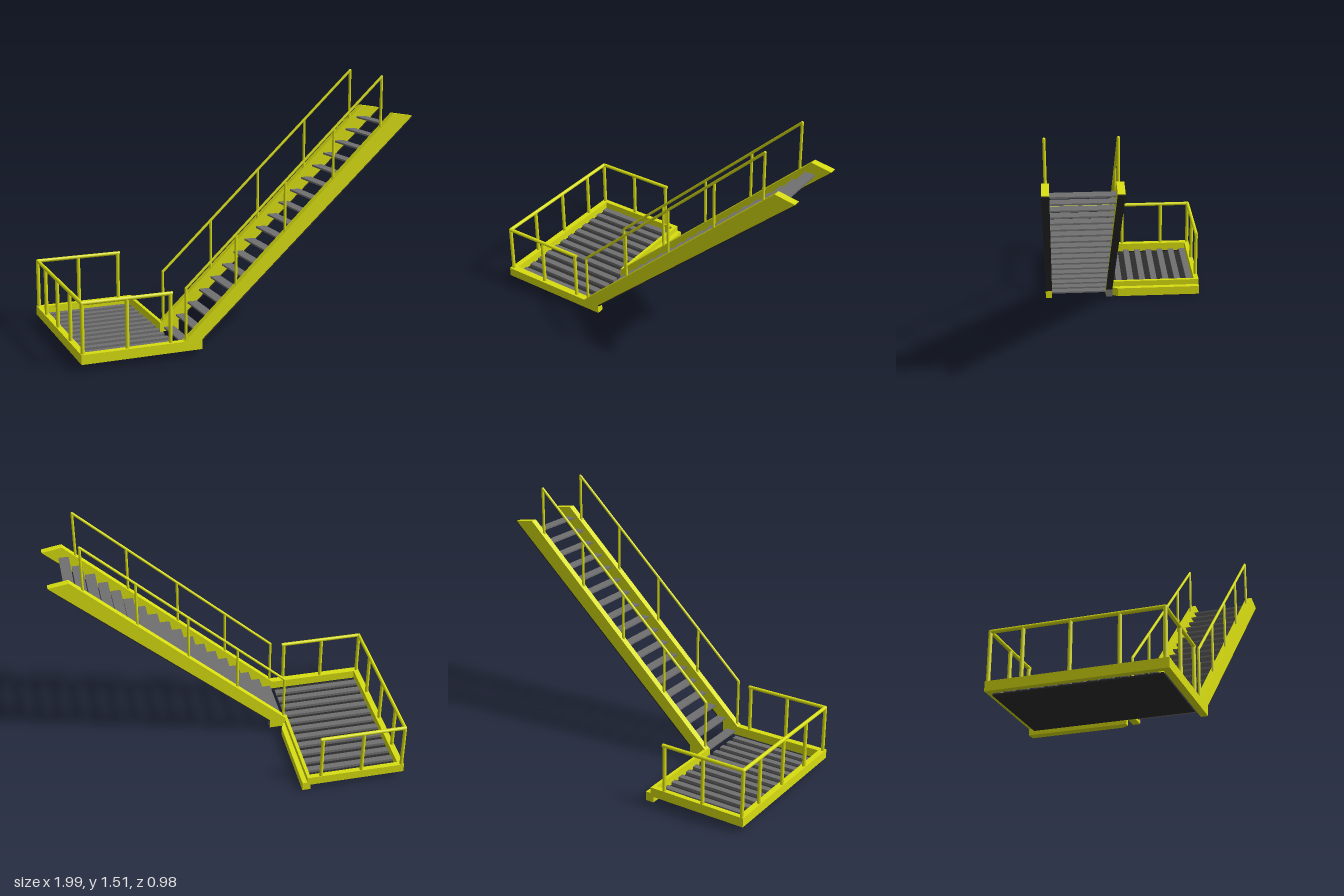
import * as THREE from 'three';

const mat = (color) => new THREE.MeshStandardMaterial({ color });

export function createModel() {
  const model = new THREE.Group();
  const yellow = mat(0xd8de10), grey = mat(0x707070), dark = mat(0x2c2c2c);

  const add = (name, geometry, material, parent = model) => {
    const mesh = new THREE.Mesh(geometry, material);
    mesh.name = name;
    parent.add(mesh);
    return mesh;
  };
  // Box given by its limits on each axis
  const box = (name, material, [x0, x1], [y0, y1], [z0, z1], parent) =>
    add(name, new THREE.BoxGeometry(x1 - x0, y1 - y0, z1 - z0), material, parent)
      .position.set((x0 + x1) / 2, (y0 + y1) / 2, (z0 + z1) / 2);
  // Round bar between two points
  const bar = (name, a, b, r, parent) => {
    const p = new THREE.Vector3(...a), q = new THREE.Vector3(...b);
    const mesh = add(name, new THREE.CylinderGeometry(r, r, p.distanceTo(q), 14), yellow, parent);
    mesh.position.copy(p).add(q).multiplyScalar(0.5);
    mesh.quaternion.setFromUnitVectors(new THREE.Vector3(0, 1, 0), q.sub(p).normalize());
  };
  const knob = (p, r, parent) =>
    add('railElbow', new THREE.SphereGeometry(r, 14, 10), yellow, parent).position.set(...p);
  // Side profile (x, y) extruded from z0 to z1
  const plate = (name, points, z0, z1, material, parent) => {
    const shape = new THREE.Shape(points.map(([x, y]) => new THREE.Vector2(x, y)));
    const geo = new THREE.ExtrudeGeometry(shape, { depth: z1 - z0, bevelEnabled: false });
    return add(name, geo.translate(0, 0, z0), material, parent);
  };

  // Landing: frame beams, floor sheet and slats
  const landing = new THREE.Group();
  landing.name = 'landing';
  model.add(landing);
  box('sideBeam', yellow, [-0.99, -0.955], [0.035, 0.09], [-0.49, 0.45], landing);
  box('backBeam', yellow, [-0.955, -0.39], [0.035, 0.09], [-0.49, -0.46], landing);
  box('frontBeam', yellow, [-0.99, -0.4], [0.035, 0.09], [0.45, 0.49], landing);
  box('edgeBeam', yellow, [-0.41, -0.39], [0.035, 0.09], [-0.46, 0.07], landing);
  // Lower lip of the open edge, with a clipped corner beside the stairs
  const lip = plate('edgeLip', [[-0.41, 0.49], [-0.41, -0.07], [-0.38, -0.07], [-0.36, -0.03], [-0.36, 0.49]],
    0, 0.055, yellow, landing);
  lip.rotation.x = -Math.PI / 2;
  box('floorSheet', dark, [-0.955, -0.41], [0.022, 0.03], [-0.46, 0.45], landing);
  for (let i = 0; i < 12; i++) {
    const z = -0.44 + i * 0.076;
    box('floorSlat', grey, [-0.955, -0.41], [0.03, 0.047], [z - 0.019, z + 0.019], landing);
  }

  // Landing guard rails on three sides
  const guard = new THREE.Group();
  guard.name = 'landingRails';
  model.add(guard);
  const xSide = -0.976, yRail = 0.37, r = 0.011;
  for (const z of [-0.478, 0.468]) {
    bar('guardRail', [xSide, yRail, z], [-0.462, yRail, z], r, guard);
    knob([xSide, yRail, z], r, guard);
    for (const x of [xSide, -0.725, -0.475]) bar('guardPost', [x, 0.085, z], [x, yRail, z], r, guard);
  }
  bar('guardRail', [xSide, yRail, -0.478], [xSide, yRail, 0.468], r, guard);
  for (const z of [-0.295, -0.035, 0.23]) bar('guardPost', [xSide, 0.085, z], [xSide, yRail, z], r, guard);

  // Stairs: two stringers with dark soles and a handrail each
  const stairs = new THREE.Group();
  stairs.name = 'stairs';
  model.add(stairs);
  const topOf = (x) => 0.09 + 0.9375 * (x + 0.4);
  for (const [z0, z1, zRail] of [[0.07, 0.11, 0.095], [0.45, 0.49, 0.47]]) {
    plate('stringer', [[-0.41, 0.035], [-0.295, 0.035], [-0.295, 0.093], [1, 1.27], [0.88, 1.29], [-0.4, 0.09], [-0.41, 0.09]],
      z0, z1, yellow, stairs);
    plate('stringerSole', [[-0.292, 0.085], [1, 1.262], [1, 1.27], [-0.295, 0.093]], z0, z1, dark, stairs);
    const rail = [];
    for (let i = 0; i < 5; i++) {
      const x = -0.385 + i * 0.2975, y = 0.388 + i * 0.278;
      bar('handrailPost', [x, topOf(x) - 0.02, zRail], [x, y, zRail], 0.008, stairs);
      rail.push([x, y, zRail]);
    }
    bar('handrail', rail[0], rail[4], 0.008, stairs);
    knob(rail[0], 0.008, stairs);
    knob(rail[4], 0.008, stairs);
  }
  box('stringerFoot', grey, [-0.295, -0.293], [0.035, 0.085], [0.07, 0.11], stairs);

  // Open treads
  for (let i = 0; i < 18; i++) {
    const x = -0.355 + i * 0.0724, y = 0.055 + i * 0.0685;
    box('tread', grey, [x - 0.03, x + 0.03], [y - 0.005, y + 0.005], [0.11, 0.45], stairs);
  }
  return model;
}
